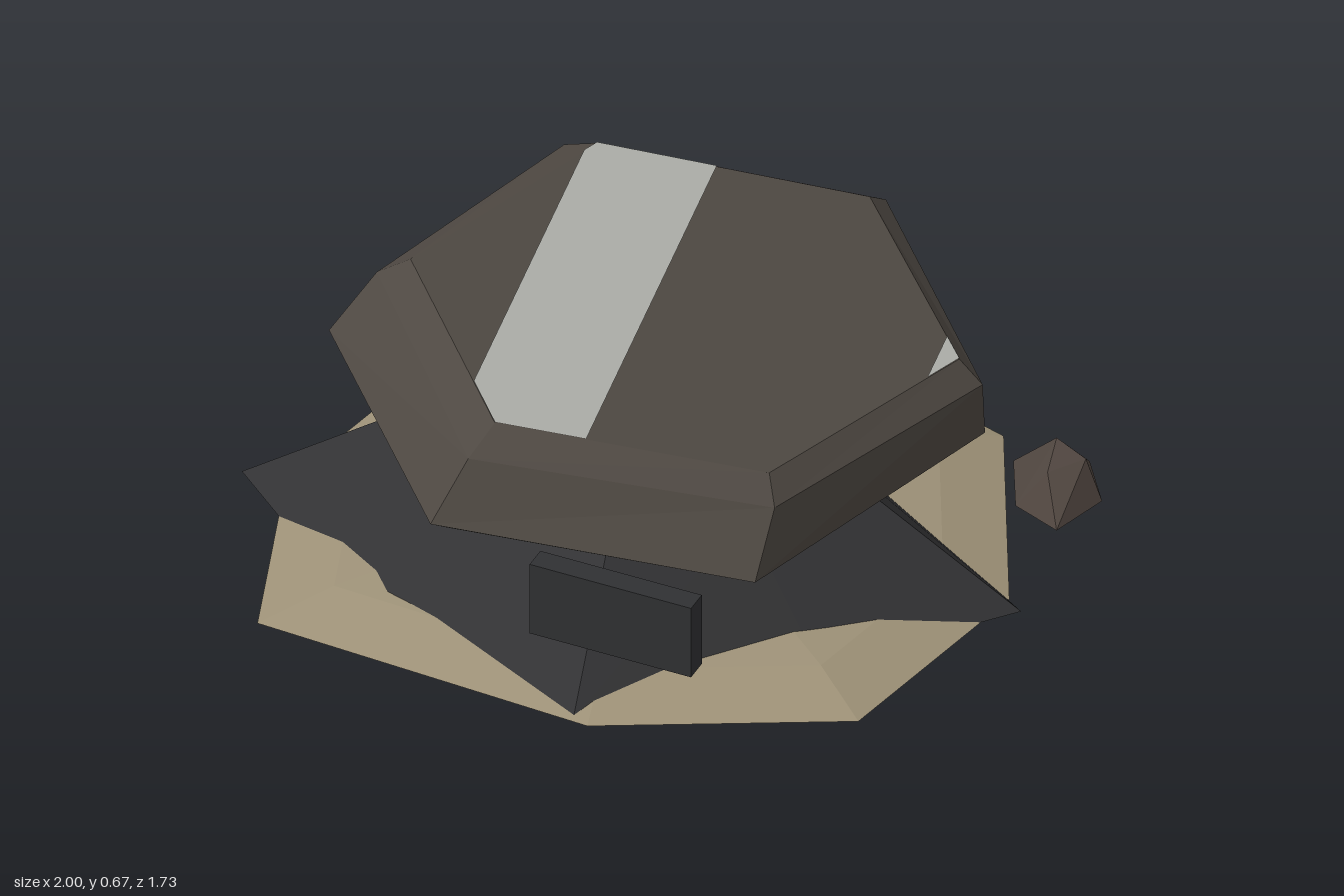
import * as THREE from 'three';
import { ConvexGeometry } from 'three/addons/geometries/ConvexGeometry.js';

const flat = (name, color) => {
  const m = new THREE.MeshStandardMaterial({ color });
  m.flatShading = true;
  m.name = name;
  return m;
};

// Skin through rings of [x, y, z] points, ordered bottom to top.
function loft(rings) {
  const pos = [];
  for (let r = 0; r + 1 < rings.length; r++) {
    const lo = rings[r], hi = rings[r + 1], n = lo.length;
    for (let i = 0; i < n; i++) {
      const j = (i + 1) % n;
      pos.push(...lo[i], ...hi[i], ...lo[j], ...lo[j], ...hi[i], ...hi[j]);
    }
  }
  const g = new THREE.BufferGeometry();
  g.setAttribute('position', new THREE.Float32BufferAttribute(pos, 3));
  g.computeVertexNormals();
  return g;
}

// Ring from an [x, z] outline scaled about a centre; y is a number or a rule of (x, z).
function ring(outline, y, s = 1, cx = 0, cz = 0) {
  return outline.map(([px, pz]) => {
    const x = cx + (px - cx) * s, z = cz + (pz - cz) * s;
    return [x, typeof y === 'function' ? y(x, z) : y, z];
  });
}

export function createModel() {
  const group = new THREE.Group();
  const stone = flat('brown stone', 0x4e4842);
  const darkStone = flat('dark stone', 0x323234);
  const sand = flat('sand', 0x9e9278);
  const silver = flat('pale silver', 0xacada8);
  const plateDark = flat('charcoal', 0x303133);
  const pebbleBrown = flat('pebble brown', 0x4e443e);
  const add = (name, geometry, material) => {
    const mesh = new THREE.Mesh(geometry, material);
    mesh.name = name;
    group.add(mesh);
    return mesh;
  };

  // Low sand mound with a flat underside
  const moundEdge = [[0, -0.87], [0.69, -0.53], [0.88, 0.1], [0.67, 0.67],
    [0.06, 0.86], [-0.8, 0.67], [-0.89, 0.1], [-0.69, -0.44]];
  add('sandMound', loft([
    ring(moundEdge, 0.04, 0), ring(moundEdge, 0.04), ring(moundEdge, 0.09, 0.81),
    ring(moundEdge, 0.12, 0.54), ring(moundEdge, 0.15, 0),
  ]), sand);

  // Faceted pedestal with pointed corners
  const baseEdge = [[0.92, 0.14], [0.52, 0.48], [0.02, 0.84], [-0.57, 0.58],
    [-1, 0.09], [-0.56, -0.36], [-0.12, -0.55], [0.3, -0.4]];
  const baseRing = (y, s) => ring(baseEdge, y, s, 0, 0.1);
  add('pedestal', loft([
    baseRing(0.003, 0), baseRing(0.04, 1),
    baseRing((x, z) => 0.322 - 0.05 * (z - 0.1), 0.56),
    baseRing(0.38, 0.2), baseRing(0.39, 0),
  ]), darkStone);

  // Tilted six-sided slab with bevelled edges
  const tilt = (h) => (x) => h - 0.068 * x;
  const top = [[-0.32, -0.585], [0.34, -0.61], [0.71, -0.07], [0.41, 0.52], [-0.25, 0.56], [-0.61, 0.01]];
  const shoulder = [[-0.41, -0.62], [0.36, -0.68], [0.77, -0.06], [0.44, 0.58], [-0.29, 0.65], [-0.69, 0.02]];
  const widest = [[-0.45, -0.61], [0.36, -0.67], [0.77, -0.08], [0.42, 0.68], [-0.36, 0.73], [-0.79, 0.08]];
  const under = [[-0.42, -0.58], [0.33, -0.64], [0.71, -0.08], [0.4, 0.62], [-0.34, 0.67], [-0.76, 0.08]];
  add('slab', loft([
    ring(under, tilt(0.385), 0), ring(under, tilt(0.385)), ring(widest, tilt(0.43)),
    ring(shoulder, tilt(0.583)), ring(top, tilt(0.635)), ring(top, tilt(0.635), 0),
  ]), stone);

  // Pale bands lying on the slab
  const bands = {
    wideBand: [[-0.34, -0.545], [-0.32, -0.585], [-0.03, -0.596], [-0.03, 0.547], [-0.25, 0.56], [-0.34, 0.422]],
    cornerBand: [[0.66, -0.143], [0.71, -0.07], [0.66, 0.028]],
  };
  for (const [name, outline] of Object.entries(bands)) {
    const cx = outline.reduce((sum, p) => sum + p[0], 0) / outline.length;
    const y = tilt(0.638);
    add(name, loft([ring(outline, y), ring(outline, y, 0, cx, -0.05)]), silver);
  }

  // Small upright plate at the front
  const plate = add('frontPlate', new THREE.BoxGeometry(0.42, 0.2, 0.06), plateDark);
  plate.position.set(0.1, 0.3, 0.755);
  plate.rotation.y = -0.165;

  // Loose pebble
  const pebble = [[0.75, 0.07, -0.4], [0.92, 0.06, -0.46], [0.995, 0.07, -0.3], [0.92, 0.06, -0.17],
    [0.8, 0.06, -0.24], [0.87, 0.195, -0.35], [0.95, 0.17, -0.32], [0.87, 0.15, -0.27], [0.88, 0.03, -0.32]];
  add('pebble', new ConvexGeometry(pebble.map((p) => new THREE.Vector3(...p))), pebbleBrown);

  return group;
}
